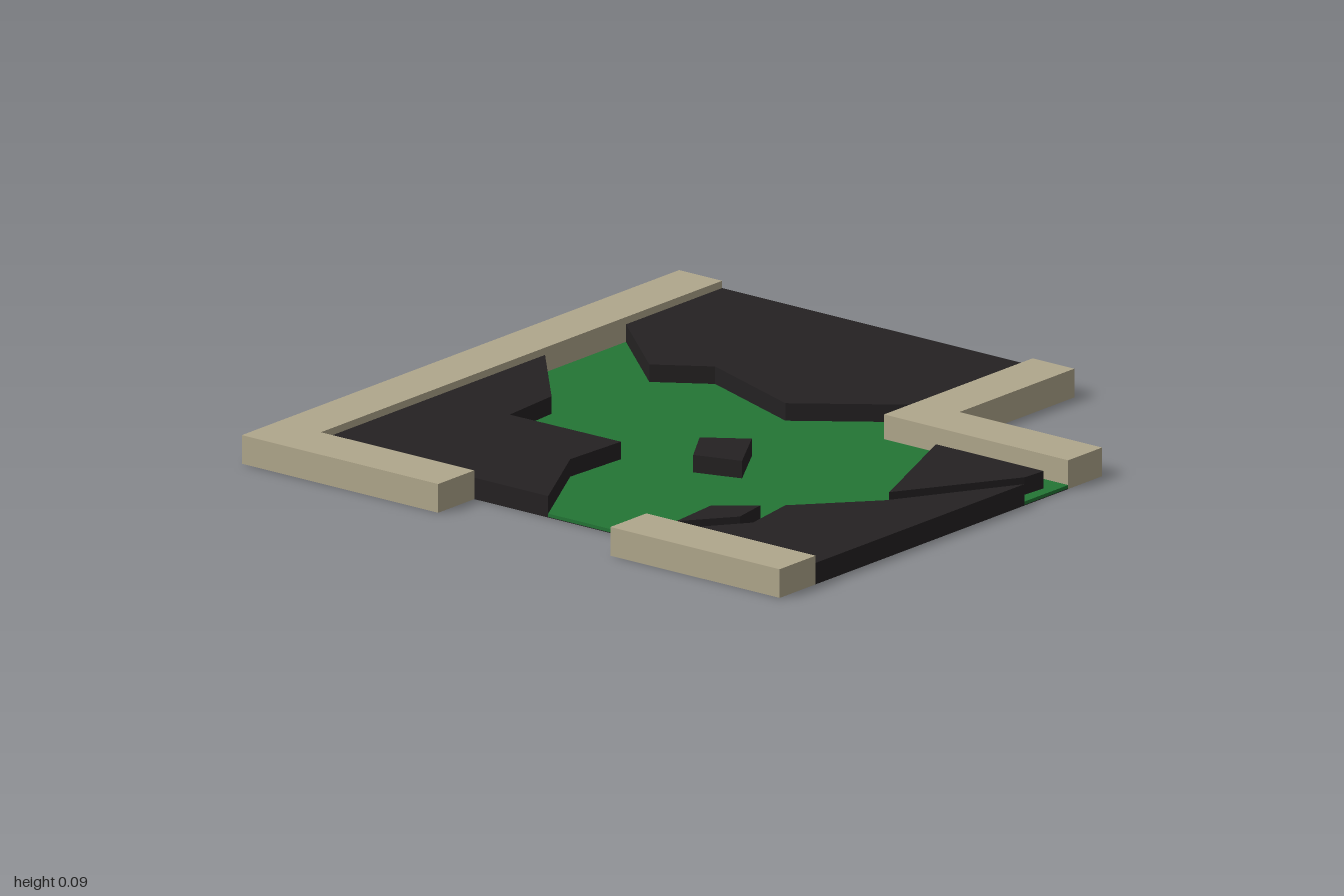
import * as THREE from 'three';

const STONE = new THREE.MeshStandardMaterial({ color: 0xb0a78c });
const ROCK = new THREE.MeshStandardMaterial({ color: 0x242122 });
const GRASS = new THREE.MeshStandardMaterial({ color: 0x237535 });

// Slab with an outline of [x, z] points, standing from y0 to y1
function slab(name, outline, y0, y1, material) {
  const shape = new THREE.Shape(outline.map(([x, z]) => new THREE.Vector2(x, -z)));
  const geometry = new THREE.ExtrudeGeometry(shape, { depth: y1 - y0, bevelEnabled: false });
  geometry.rotateX(-Math.PI / 2).translate(0, y0, 0);
  const mesh = new THREE.Mesh(geometry, material);
  mesh.name = name;
  return mesh;
}

export function createModel() {
  const model = new THREE.Group();
  model.name = 'dungeonTile';
  const BASE = 0.002, FLOOR = 0.012, ROCK_TOP = 0.065, WALL_TOP = 0.087;
  const IN = -0.84, FRONT = 0.835, NX = 0.315, NZ = -0.32;

  // Inner edges of the large rock areas
  const backEdge = [[0.31, -1], [0.285, -0.5], [-0.015, -0.275], [-0.39, -0.415], [-0.55, -0.31], [IN, -0.56]];
  const leftEdge = [[IN, -0.19], [-0.58, 0.1], [-0.565, 0.31], [-0.155, 0.305], [-0.165, 0.525], [0.005, FRONT]];
  const rightEdge = [[0.485, FRONT], [0.62, 0.655], [0.59, 0.47], [0.785, 0.25], [1, -0.12]];

  // Dark underside and the grass lying between the rocks
  const room = [[IN, -1], [NX, -1], [NX, NZ], [1, NZ], [1, FRONT], [IN, FRONT]];
  model.add(slab('base', room, 0, BASE, ROCK));
  const meadow = [...backEdge, ...leftEdge, ...rightEdge, [1, NZ], [NX, NZ], [NX, -1]];
  model.add(slab('grassFloor', meadow, BASE, FLOOR, GRASS));

  // Rock areas against the walls
  const areas = {
    backRock: [[IN, -1], ...backEdge],
    leftRock: [...leftEdge, [IN, FRONT]],
    rightRock: [...rightEdge, [1, FRONT]],
  };
  for (const [name, outline] of Object.entries(areas)) model.add(slab(name, outline, BASE, ROCK_TOP, ROCK));

  // Free-standing rocks on the grass
  const islands = {
    cornerRock: [[0.565, -0.25], [0.965, -0.25], [0.96, -0.17], [0.745, 0.185]],
    centreRock: [[-0.005, 0.13], [0.12, 0.045], [0.23, 0.225], [0.085, 0.27]],
    smallRock: [[0.425, 0.61], [0.535, 0.515], [0.555, 0.635], [0.44, 0.785]],
  };
  for (const [name, outline] of Object.entries(islands)) model.add(slab(name, outline, FLOOR, ROCK_TOP, ROCK));

  // Stone walls, mitred at the corners
  const walls = {
    sideWallBack: [[-1, -1], [IN, -1], [IN, -0.37], [-1, -0.37]],
    sideWallMiddle: [[-1, -0.37], [IN, -0.37], [IN, 0.26], [-1, 0.26]],
    sideWallFront: [[-1, 0.26], [IN, 0.26], [IN, FRONT], [-1, 1]],
    frontWallLong: [[-1, 1], [IN, FRONT], [-0.27, FRONT], [-0.27, 1]],
    frontWallShort: [[0.37, FRONT], [1, FRONT], [1, 1], [0.37, 1]],
    notchWallBack: [[NX, -1], [0.47, -1], [0.47, -0.475], [NX, NZ]],
    notchWallSide: [[NX, NZ], [0.47, -0.475], [1, -0.475], [1, NZ]],
  };
  for (const [name, outline] of Object.entries(walls)) model.add(slab(name, outline, 0, WALL_TOP, STONE));

  return model;
}
